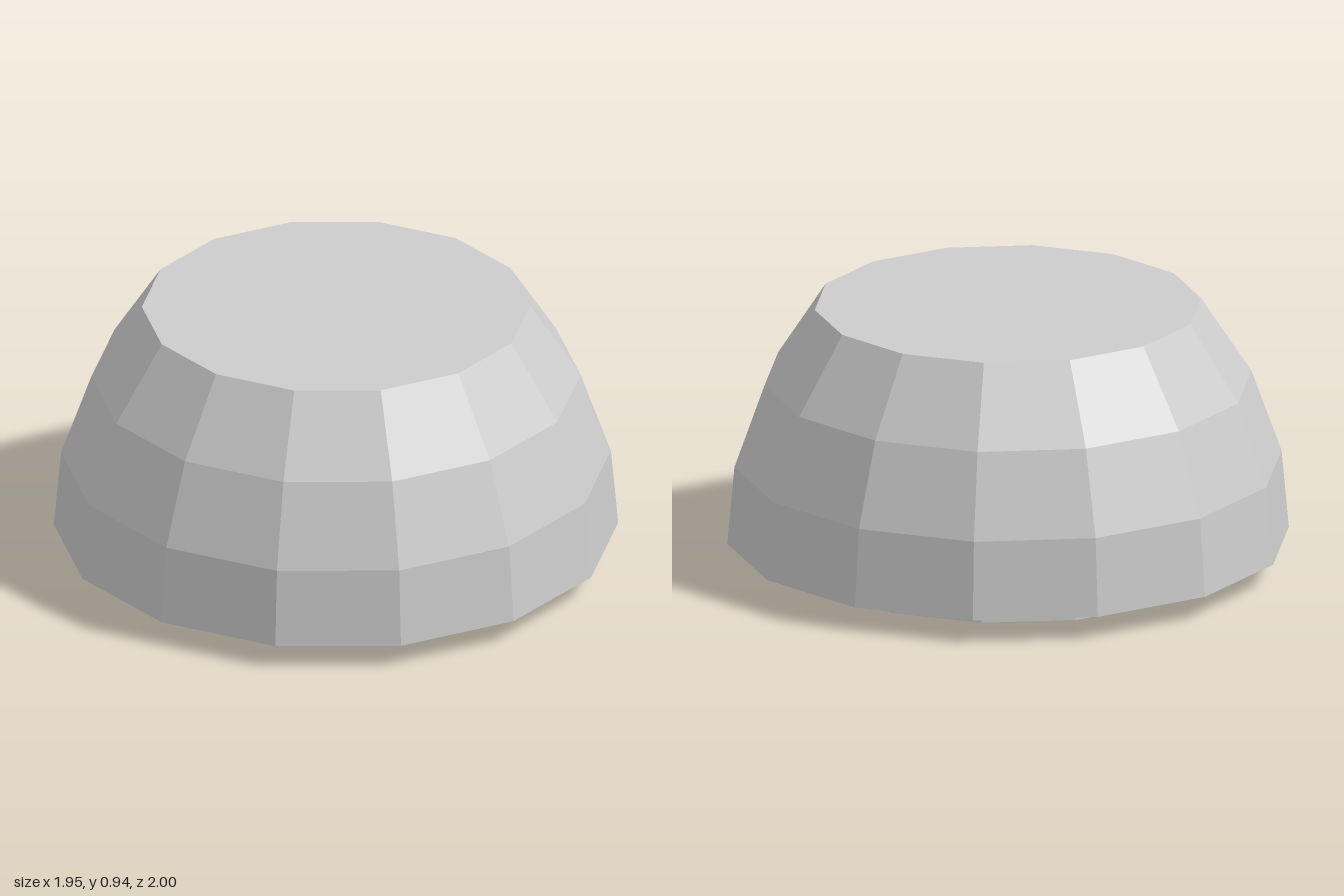
import * as THREE from 'three';

const SIDES = 14;

export function createModel() {
  const model = new THREE.Group();
  const grey = new THREE.MeshStandardMaterial({ color: 0xcccccc, flatShading: true, side: THREE.DoubleSide });
  grey.name = 'light grey';

  function add(name, geometry) {
    const mesh = new THREE.Mesh(geometry, grey);
    mesh.name = name;
    model.add(mesh);
    return mesh;
  }

  // Faceted dome, open below and closed by a flat top
  const profile = [[1, 0], [0.974, 0.285], [0.867, 0.585], [0.688, 0.86], [0, 0.86]];
  function dome(name, radius, base) {
    const points = profile.map(([r, y]) => new THREE.Vector2(r * radius, base + y));
    return add(name, new THREE.LatheGeometry(points, SIDES));
  }

  dome('outerShell', 1, 0.085);
  dome('innerShell', 0.758, 0);

  // Flat panel under the roof of the inner shell
  const panel = add('innerPanel', new THREE.CircleGeometry(0.42, SIDES));
  panel.rotation.x = Math.PI / 2;
  panel.position.y = 0.55;

  // Small flat wavy strip inside the hollow
  const wave = [[0.31, 0.05], [0.12, -0.04], [-0.18, 0.07], [-0.35, 0.03]];
  const outline = [...wave, ...wave.map(([x, z]) => [x, z - 0.09]).reverse()];
  const strip = new THREE.ShapeGeometry(new THREE.Shape(outline.map(([x, z]) => new THREE.Vector2(x, z))));
  strip.rotateX(Math.PI / 2);
  strip.translate(0, 0.25, 0.34);
  strip.rotateY(0.673);
  add('wavyStrip', strip);

  return model;
}
